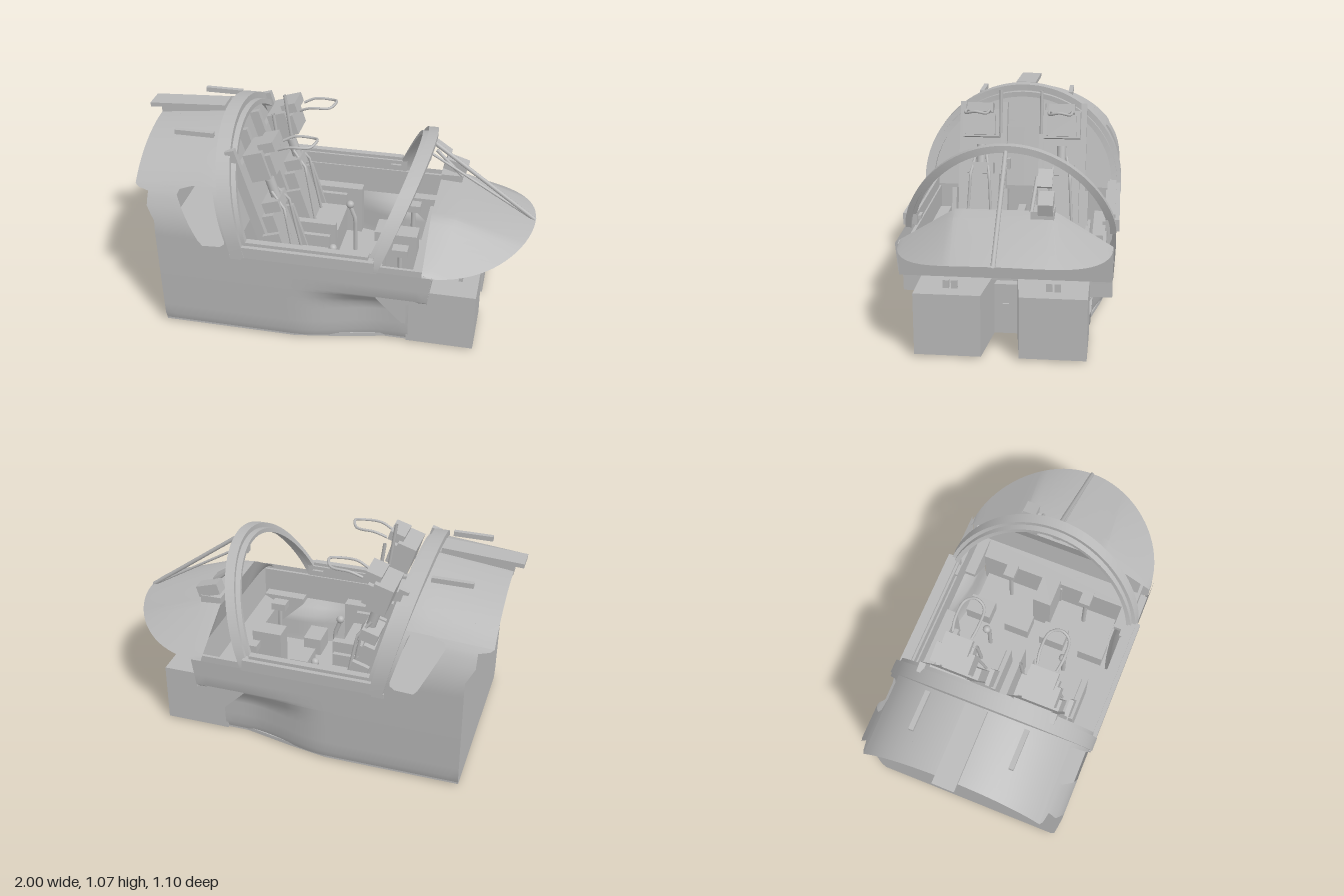
import * as THREE from 'three';
import { toCreasedNormals } from 'three/addons/utils/BufferGeometryUtils.js';

const paint = new THREE.MeshStandardMaterial({ color: 0xb8b8b8, side: THREE.DoubleSide });
paint.name = 'plain grey';

function add(parent, name, geo) {
  const mesh = new THREE.Mesh(geo, paint);
  mesh.name = name;
  parent.add(mesh);
  return mesh;
}

// box given by its limits
function box(parent, name, x0, x1, y0, y1, z0, z1) {
  const m = add(parent, name, new THREE.BoxGeometry(x1 - x0, y1 - y0, z1 - z0));
  m.position.set((x0 + x1) / 2, (y0 + y1) / 2, (z0 + z1) / 2);
  return m;
}

function tube(parent, name, pts, r, curved = false) {
  const v = pts.map(p => new THREE.Vector3(...p));
  const path = curved ? new THREE.CatmullRomCurve3(v) : new THREE.CurvePath();
  if (!curved) for (let i = 1; i < v.length; i++) path.add(new THREE.LineCurve3(v[i - 1], v[i]));
  return add(parent, name, new THREE.TubeGeometry(path, curved ? 32 : (v.length - 1) * 4, r, 8));
}

// surface through a grid of points fn(i, j)
function grid(nu, nv, fn) {
  const pos = [], idx = [];
  for (let i = 0; i <= nu; i++) for (let j = 0; j <= nv; j++) pos.push(...fn(i, j));
  for (let i = 0; i < nu; i++) for (let j = 0; j < nv; j++) {
    const a = i * (nv + 1) + j, b = a + nv + 1;
    idx.push(a, b, a + 1, b, b + 1, a + 1);
  }
  const g = new THREE.BufferGeometry();
  g.setAttribute('position', new THREE.Float32BufferAttribute(pos, 3));
  g.setIndex(idx);
  g.computeVertexNormals();
  return g;
}

// flat outline in x and z, raised from y0 to y1
function slab(parent, name, pts, y0, y1) {
  const s = new THREE.Shape(pts.map(p => new THREE.Vector2(...p)));
  const g = new THREE.ExtrudeGeometry(s, { depth: y1 - y0, bevelEnabled: false });
  g.rotateX(Math.PI / 2).translate(0, y1, 0);
  return add(parent, name, g);
}

const clamp = t => Math.min(1, Math.max(0, t));
const steps = (a, b, n) => Array.from({ length: n + 1 }, (_, i) => a + (b - a) * i / n);
// straight-line interpolation in a short list of [y, value]
function along(list, y) {
  for (let i = 1; i < list.length; i++) if (y <= list[i][0]) {
    const [a, b] = [list[i - 1], list[i]];
    return a[1] + (b[1] - a[1]) * clamp((y - a[0]) / (b[0] - a[0]));
  }
  return list[list.length - 1][1];
}

// half width of the hull; lower front tapers inwards
function halfWidth(x, y) {
  if (y > 0.58) return 0.535 * Math.sqrt(Math.max(0, 1 - ((y - 0.58) / 0.45) ** 2));
  const z = along([[0.02, 0.49], [0.06, 0.505], [0.3, 0.52], [0.58, 0.535]], y);
  return z - 0.09 * THREE.MathUtils.smoothstep(x, -0.15, 0.3) * clamp((0.34 - y) / 0.1);
}
// the roof sinks towards the tail
const sink = (x, y) => y > 0.6 ? 0.6 + (y - 0.6) * (1 - 0.11 * clamp((-0.55 - x) / 0.4)) : y;

function skin(parent, name, ys, xa, xb, nx) {
  for (const s of [1, -1]) add(parent, name, grid(ys.length - 1, nx, (i, j) => {
    const y = ys[i], x = xa(y) + (xb(y) - xa(y)) * j / nx;
    return [x, sink(x, y), s * halfWidth(x, y)];
  }));
}

// tilted hoop with a rectangular section
function hoop(parent, name, a, yc, h, yb, p, xAt, w, d) {
  const n = 48;
  const g = grid(n, 4, (i, j) => {
    const t = Math.PI * (i - 1) / (n - 2), end = i === 0 || i === n;
    const k = j === 1 || j === 2 ? 1 - d / a : 1;
    const c = end ? (i === 0 ? 1 : -1) : Math.cos(t);
    const yo = end ? yb : yc + h * Math.pow(Math.max(0, Math.sin(t)), p);
    const y = end ? yb : yc + (yo - yc) * k;
    return [xAt(yo) + (j === 2 || j === 3 ? w / 2 : -w / 2), y, c * a * k];
  });
  return add(parent, name, toCreasedNormals(g, 0.6));
}

function makeSeat(side) {
  const seat = new THREE.Group();
  seat.name = 'seat';
  const back = new THREE.Group();
  back.name = 'seatBack';
  back.position.set(-0.2, 0.2, 0);
  back.rotation.z = 0.3;
  seat.add(back);
  box(back, 'backPlate', -0.06, -0.03, -0.05, 0.72, -0.1, 0.1);
  box(back, 'backCushion', -0.03, 0.03, 0.08, 0.42, -0.1, 0.1);
  box(back, 'shoulderPad', -0.02, 0.07, 0.42, 0.48, -0.07, 0.07);
  add(back, 'harnessReel', new THREE.CylinderGeometry(0.025, 0.025, 0.1, 16)).position.set(0.04, 0.53, 0);
  box(back, 'headBox', -0.01, 0.09, 0.62, 0.77, -0.1, 0.1);
  box(back, 'headCushion', 0.09, 0.12, 0.63, 0.74, -0.08, 0.08);
  box(back, 'headCap', 0.07, 0.15, 0.75, 0.8, -0.07, 0.07);
  for (const s of [1, -1]) {
    box(back, 'ejectionRail', -0.08, -0.03, -0.1, 0.82, s * 0.115 - 0.016, s * 0.115 + 0.016);
    box(back, 'sideWing', -0.04, 0.05, 0.02, 0.34, s * 0.14 - 0.012, s * 0.14 + 0.012);
    tube(back, 'harnessStrap', [[0.04, 0.52, s * 0.03], [0.08, 0.42, s * 0.05], [0.04, 0.1, s * 0.07]], 0.008);
    box(seat, 'panSide', -0.3, -0.06, 0.12, 0.36, s * 0.155 - 0.012, s * 0.155 + 0.012);
  }
  tube(back, 'sensorMast', [[0.09, 0.64, -side * 0.11], [0.13, 0.87, -side * 0.11]], 0.009);
  box(seat, 'seatPan', -0.3, -0.06, 0.12, 0.25, -0.145, 0.145);
  box(seat, 'seatCushion', -0.26, -0.05, 0.25, 0.3, -0.13, 0.13);
  tube(seat, 'overheadHandle', [[-0.27, 0.96, 0.05], [-0.21, 0.985, 0.06], [-0.11, 0.99, 0.05],
    [-0.085, 1.005, 0], [-0.11, 0.99, -0.05], [-0.21, 0.985, -0.06], [-0.27, 0.96, -0.05]], 0.007, true);
  tube(seat, 'controlStick', [[0.02, 0.1, 0], [0.02, 0.3, 0], [-0.01, 0.38, 0]], 0.012);
  add(seat, 'stickGrip', new THREE.SphereGeometry(0.022, 12, 8)).position.set(-0.01, 0.39, 0);
  for (const s of [1, -1]) box(seat, 'footPedal', 0.12, 0.22, 0.1, 0.2, s * 0.115 - 0.07, s * 0.115 + 0.07);
  seat.position.z = side * 0.22;
  return seat;
}

export function createModel() {
  const model = new THREE.Group();
  model.name = 'cockpitSection';

  // hull skin, with openings for the rear side windows
  const tail = y => along([[0.64, -0.84], [0.72, -0.88], [0.79, -0.88], [0.81, -0.95]], y);
  const archX = y => -0.42 - (y - 0.5) * 0.25;
  const winBack = y => along([[0.525, -0.6], [0.55, -0.62], [0.78, -0.73], [0.805, -0.72], [0.82, -0.66]], y);
  const winFront = y => along([[0.525, -0.6], [0.53, -0.51], [0.55, -0.485], [0.57, -0.485], [0.8, -0.55], [0.82, -0.57]], y);
  const nose = y => along([[0.319, 0.42], [0.32, 0.52], [0.49, 0.54]], y);
  skin(model, 'lowerHull', [0.02, 0.06, 0.12, 0.2, 0.24, 0.28, 0.319, 0.32, 0.34, 0.4, 0.49], () => -0.84, nose, 24);
  skin(model, 'windowSill', [0.49, 0.525], tail, archX, 6);
  const rows = [0.525, 0.53, 0.55, 0.57, 0.6, 0.64, 0.68, 0.72, 0.76, 0.78, 0.79, 0.805, 0.82];
  skin(model, 'rearQuarter', rows, tail, winBack, 4);
  skin(model, 'windowPillar', rows, winFront, archX, 4);
  const a0 = Math.asin(0.24 / 0.45);
  skin(model, 'roof', steps(a0, Math.PI / 2, 12).map(a => 0.58 + 0.45 * Math.sin(a)), tail, archX, 8);

  // tail bulkhead, and the tilted wall behind the seats
  const arc = steps(0, Math.PI / 2, 14).map(a => 0.58 + 0.45 * Math.sin(a));
  const ys = [0.02, 0.06, 0.3, 0.5, ...arc];
  add(model, 'tailBulkhead', grid(ys.length - 1, 2, (i, j) =>
    [-0.84, sink(-0.84, ys[i]), (j - 1) * halfWidth(-0.84, ys[i])]));
  const wall = [0.1, 0.5, ...arc];
  add(model, 'rearCabinWall', toCreasedNormals(grid(wall.length - 1, 2, (i, j) =>
    [archX(Math.max(0.5, wall[i])) - 0.03, wall[i], (j - 1) * 0.97 * halfWidth(-0.5, wall[i])]), 0.2));

  // roof fittings
  box(model, 'roofSpine', -1, -0.6, 1.03, 1.052, -0.055, 0.055).rotation.z = 0.06;
  box(model, 'spineFoot', -0.95, -0.58, 0.97, 1.02, -0.03, 0.03).rotation.z = 0.06;
  for (const s of [1, -1]) {
    box(model, 'roofRail', -0.8, -0.6, 0.985, 1.01, s * 0.25 - 0.012, s * 0.25 + 0.012);
    box(model, 'hatchHinge', -0.46, -0.4, 0.475, 0.5, s * 0.53 - 0.012, s * 0.53 + 0.012);
  }

  // canopy and windshield frames
  hoop(model, 'canopyArch', 0.548, 0.55, 0.515, 0.49, 1, y => -0.42 - (y - 0.5) * 0.235, 0.07, 0.035);
  hoop(model, 'canopyArchSeal', 0.525, 0.55, 0.48, 0.49, 1, y => -0.38 - (y - 0.5) * 0.235, 0.03, 0.03);
  hoop(model, 'windshieldArch', 0.53, 0.5, 0.47, 0.48, 1.28, y => 0.255 + (y - 0.5) * 0.41, 0.05, 0.03);
  hoop(model, 'windshieldSeal', 0.51, 0.5, 0.445, 0.48, 1.28, y => 0.225 + (y - 0.5) * 0.41, 0.03, 0.025);
  tube(model, 'windshieldBar', [[0.46, 0.945, 0], [0.99, 0.56, 0]], 0.011);
  tube(model, 'windshieldBrace', [[0.45, 0.88, 0], [0.985, 0.56, 0]], 0.007);
  for (const s of [1, -1]) {
    box(model, 'canopySill', -0.42, 0.26, 0.49, 0.55, s * 0.51 - 0.035, s * 0.51 + 0.035);
    box(model, 'sillRail', -0.4, 0.23, 0.55, 0.567, s * 0.505 - 0.018, s * 0.505 + 0.018);
    box(model, 'cabinWall', -0.45, 0.52, 0.34, 0.49, s * 0.475 - 0.008, s * 0.475 + 0.008);
    box(model, 'sideConsole', -0.4, 0.02, 0.1, 0.38, s * 0.435 - 0.03, s * 0.435 + 0.03);
    box(model, 'canopyLatch', 0.17, 0.23, 0.51, 0.53, s * 0.49 - 0.03, s * 0.49 + 0.03);
  }

  // nose cowl: rear edge, ridge and rim, open below with a panel behind
  const n = 40;
  const ridge = z => z < 0.24 ? 0.66 : 0.66 - (z - 0.24) / 0.28 * 0.17;
  const cowl = (i, j) => {
    const a = Math.PI * (j / n - 0.5), c = Math.max(0, Math.cos(a)), z = 0.52 * Math.sin(a), y = ridge(Math.abs(z));
    return [
      [0.49, y, z],
      [0.49 + 0.13 * c, y - 0.008 * c, z * 0.99],
      [0.49 + 0.505 * c, 0.48 + 0.08 * c ** 3, z],
      [0.54, 0.48, z],
    ][i];
  };
  add(model, 'noseCowl', toCreasedNormals(grid(2, n, cowl), 0.5));
  add(model, 'cowlRearPanel', grid(1, n, (i, j) => cowl(i * 3, j)));
  add(model, 'frontBulkhead', grid(1, 1, (i, j) => [i ? 0.54 : 0.52, i ? 0.485 : 0.32, j ? 0.52 : -0.52]));
  box(model, 'frontLedge', 0.42, 0.52, 0.31, 0.32, -0.5, 0.5);
  box(model, 'lowerFrontWall', 0.41, 0.42, 0.03, 0.32, -0.41, 0.41);

  // floor and front equipment boxes
  slab(model, 'bottomPlate', [[-0.84, -0.49], [-0.15, -0.49], [0.05, -0.455], [0.3, -0.4], [0.45, -0.4], [0.45, 0.4],
    [0.3, 0.4], [0.05, 0.455], [-0.15, 0.49], [-0.84, 0.49]], 0.01, 0.03);
  for (const s of [1, -1]) {
    slab(model, 'equipmentBox', [[0.41, s * 0.05], [0.75, s * 0.09], [0.75, s * 0.41], [0.41, s * 0.41]], 0.01, 0.32);
    for (const z of [0.225, 0.265]) box(model, 'boxPin', 0.65, 0.67, 0.32, 0.36, s * z - 0.015, s * z + 0.015);
    // side brackets
    const pts = [[0.27, 0.33], [0.4, 0.2], [0.42, 0.2], [0.42, 0.31], [0.5, 0.35], [0.5, 0.36], [0.27, 0.36]];
    const g = new THREE.ExtrudeGeometry(new THREE.Shape(pts.map(p => new THREE.Vector2(...p))),
      { depth: 0.11, bevelEnabled: false });
    add(model, 'sideBracket', g).position.z = s > 0 ? 0.41 : -0.52;
  }
  box(model, 'centreBlock', 0.4, 0.47, 0.01, 0.27, -0.06, 0.06);
  box(model, 'centreLatch', 0.46, 0.48, 0.15, 0.17, -0.015, 0.015);
  box(model, 'bottomLug', 0.27, 0.31, 0, 0.012, -0.235, -0.2);

  // cabin interior
  slab(model, 'cabinFloor', [[-0.45, -0.48], [-0.15, -0.48], [0.28, -0.39], [0.41, -0.39], [0.41, 0.39], [0.28, 0.39],
    [-0.15, 0.48], [-0.45, 0.48]], 0.09, 0.1);
  box(model, 'rearDeck', -0.84, -0.45, 0.49, 0.5, -0.52, 0.52);
  box(model, 'centreDivider', -0.42, -0.04, 0.1, 0.4, -0.02, 0.02);
  box(model, 'centrePedestal', 0.24, 0.4, 0.1, 0.4, -0.05, 0.05);
  for (const s of [1, -1]) {
    model.add(makeSeat(s));
    box(model, 'panelHandle', 0.3, 0.38, 0.4, 0.44, s * 0.22 - 0.03, s * 0.22 + 0.03);
    tube(model, 'handlePost', [[0.34, 0.1, s * 0.22], [0.34, 0.4, s * 0.22]], 0.012);
  }

  // sight unit above the panel
  box(model, 'sightBase', 0.49, 0.6, 0.65, 0.69, -0.24, -0.13);
  box(model, 'sightHead', 0.5, 0.62, 0.69, 0.75, -0.235, -0.165).rotation.z = -0.3;
  tube(model, 'sightArm', [[0.6, 0.69, -0.135], [0.46, 0.82, -0.15]], 0.009);
  box(model, 'sightGlass', 0.43, 0.54, 0.815, 0.825, -0.225, -0.155).rotation.z = -0.6;
  box(model, 'archMirror', 0.42, 0.45, 0.85, 0.9, -0.02, 0.02);
  return model;
}
